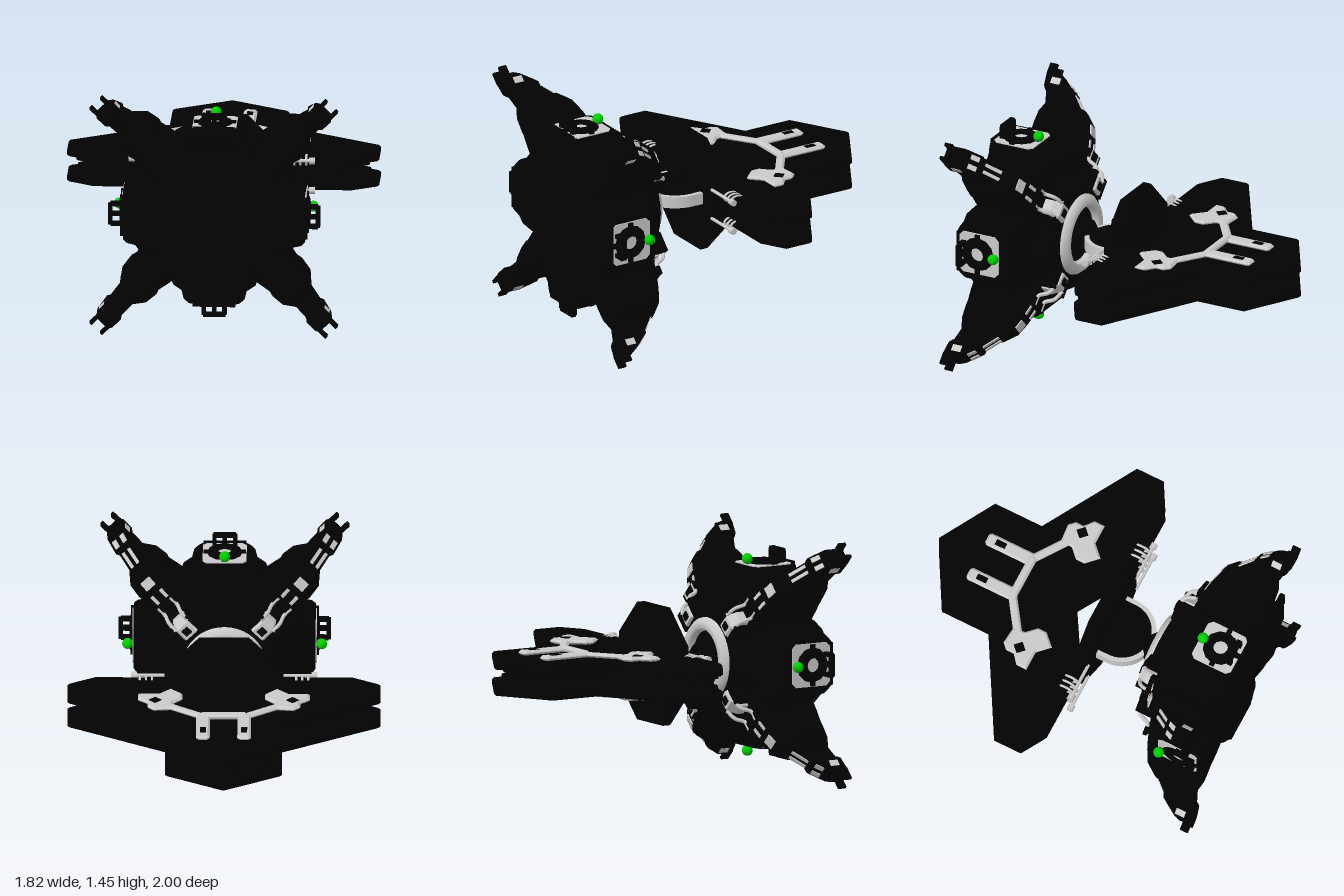
import * as THREE from 'three';

const mat = (name, color) => {
  const m = new THREE.MeshStandardMaterial({ color });
  m.name = name;
  return m;
};

export function createModel() {
  const black = mat('black hull', 0x020202);
  const grey = mat('light grey trim', 0xcacaca);
  const green = mat('green lamp', 0x00d000);
  const root = new THREE.Group();
  const AXIS = 0.72; // height of the long axis

  const add = (parent, name, geo, m, x = 0, y = 0, z = 0) => {
    const mesh = new THREE.Mesh(geo, m);
    mesh.name = name;
    mesh.position.set(x, y, z);
    parent.add(mesh);
    return mesh;
  };
  const box = (parent, name, m, sx, sy, sz, x, y, z) =>
    add(parent, name, new THREE.BoxGeometry(sx, sy, sz), m, x, y, z);
  const group = (name) => {
    const g = new THREE.Group();
    g.name = name;
    return g;
  };

  // Lofts chamfered rectangles [x, halfWidth, z0, z1, chamfer] along +x
  const loft = (sections) => {
    const rings = sections.map(([x, w, a, b, c]) => [
      [w, a + c], [w, b - c], [w - c, b], [-w + c, b],
      [-w, b - c], [-w, a + c], [-w + c, a], [w - c, a],
    ].map(([y, z]) => [x, y, z]));
    const pos = [];
    const tri = (...p) => p.forEach((v) => pos.push(...v));
    for (let i = 0; i < rings.length - 1; i++) {
      for (let j = 0; j < 8; j++) {
        const k = (j + 1) % 8, A = rings[i], B = rings[i + 1];
        tri(A[j], A[k], B[k]);
        tri(A[j], B[k], B[j]);
      }
    }
    const first = rings[0], last = rings[rings.length - 1];
    for (let j = 1; j < 7; j++) {
      tri(last[0], last[j], last[j + 1]);
      tri(first[0], first[j + 1], first[j]);
    }
    const g = new THREE.BufferGeometry();
    g.setAttribute('position', new THREE.Float32BufferAttribute(pos, 3));
    g.computeVertexNormals();
    return g;
  };

  // Lathe around the z axis from [radius, z] points
  const latheZ = (pts, seg) => new THREE.LatheGeometry(
    pts.map(([r, z]) => new THREE.Vector2(r, z)), seg).rotateX(Math.PI / 2);

  // Flat plate in the xz plane from [x, z] points, occupying y0..y1
  const slab = (pts, y0, y1, bevel) => new THREE.ExtrudeGeometry(
    new THREE.Shape(pts.map(([x, z]) => new THREE.Vector2(x, z))), {
      depth: y1 - y0 - 2 * bevel, bevelThickness: bevel,
      bevelSize: bevel, bevelOffset: -bevel, bevelSegments: 1,
    }).rotateX(Math.PI / 2).translate(0, y1 - bevel, 0);
  const mirrorOutline = (half) => [...half,
    ...half.slice(1, -1).reverse().map(([x, z]) => [-x, z])];

  const body = group('body');
  body.position.y = AXIS;
  root.add(body);

  // Central hub and its rear ring
  add(body, 'hub', latheZ([[0, 0.47], [0.26, 0.46], [0.29, 0.48], [0.33, 0.53], [0.36, 0.58],
    [0.42, 0.63], [0.44, 0.75], [0.45, 0.9], [0.41, 0.95], [0.25, 0.975], [0, 0.98]], 32), black);
  add(body, 'rearRing', latheZ([[0.16, 0.475], [0.17, 0.435], [0.18, 0.42], [0.215, 0.42],
    [0.24, 0.45], [0.245, 0.485]], 40), grey);
  add(body, 'ringSocket', latheZ([[0, 0.36], [0.06, 0.36], [0.1, 0.4], [0.12, 0.48]], 16), black);

  // Four pods with plate, lens ring, guard and lamp
  for (let k = 0; k < 4; k++) {
    const pod = group('pod');
    pod.rotation.z = k * Math.PI / 2;
    body.add(pod);
    add(pod, 'podShell', loft([[0.25, 0.27, 0.54, 0.97, 0.08], [0.38, 0.26, 0.59, 0.97, 0.06],
      [0.43, 0.24, 0.61, 0.975, 0.05], [0.46, 0.19, 0.63, 0.98, 0.04],
      [0.51, 0.178, 0.66, 0.98, 0.04], [0.53, 0.15, 0.69, 0.978, 0.02]]), black);
    box(pod, 'podLip', black, 0.03, 0.25, 0.012, 0.532, 0, 0.974);
    add(pod, 'podPlate', loft([[0.527, 0.128, 0.71, 0.967, 0.025],
      [0.536, 0.128, 0.71, 0.967, 0.025]]), grey);
    const ring = new THREE.LatheGeometry([[0.043, 0], [0.105, 0], [0.1, 0.012], [0.08, 0.02],
      [0.043, 0.02], [0.043, 0]].map(([r, y]) => new THREE.Vector2(r, y)), 12);
    add(pod, 'lensRing', ring.rotateZ(-Math.PI / 2), black, 0.534, 0, 0.845);
    for (let a = 0; a < 4; a++) {
      const t = a * Math.PI / 2;
      box(pod, 'ringLug', black, 0.016, 0.03, 0.03, 0.54,
        Math.cos(t) * 0.108, 0.845 + Math.sin(t) * 0.108);
    }
    for (const y of [-0.06, 0, 0.06]) box(pod, 'guardPost', black, 0.08, 0.025, 0.03, 0.565, y, 0.935);
    box(pod, 'guardBar', black, 0.025, 0.13, 0.03, 0.605, 0, 0.935);
    add(pod, 'lamp', new THREE.SphereGeometry(0.032, 16, 12), green, 0.565, 0, 0.73);
  }

  // Four diagonal arms with clamps and hands
  for (let k = 0; k < 4; k++) {
    const arm = group('arm');
    arm.rotation.z = Math.PI / 4 + k * Math.PI / 2;
    body.add(arm);
    add(arm, 'upperArm', loft([[0.2, 0.13, 0.52, 0.97, 0.05], [0.48, 0.115, 0.57, 0.97, 0.055],
      [0.56, 0.1, 0.59, 0.965, 0.045], [0.59, 0.112, 0.6, 0.965, 0.055],
      [0.67, 0.105, 0.63, 0.965, 0.055], [0.735, 0.05, 0.69, 0.95, 0.02]]), black);
    add(arm, 'forearm', loft([[0.7, 0.055, 0.68, 0.94, 0.02],
      [0.83, 0.052, 0.8, 0.98, 0.02]]), black);
    add(arm, 'hand', loft([[0.81, 0.05, 0.78, 0.98, 0.015], [0.83, 0.064, 0.79, 0.99, 0.015],
      [0.9, 0.064, 0.88, 1, 0.015], [0.92, 0.05, 0.91, 1, 0.015]]), black);

    // Clamp gripping the rear of the hub
    add(arm, 'clampBlock', loft([[0.27, 0.05, 0.445, 0.55, 0.012], [0.35, 0.05, 0.45, 0.56, 0.012],
      [0.385, 0.04, 0.5, 0.57, 0.012]]), grey);
    box(arm, 'clampSocket', black, 0.045, 0.045, 0.008, 0.31, 0, 0.444);
    for (const y of [-0.07, 0.07]) box(arm, 'clampCheek', black, 0.12, 0.035, 0.11, 0.32, y, 0.51);
    for (const y of [-0.05, 0.05]) {
      const path = new THREE.CatmullRomCurve3([[0.35, 0.46], [0.41, 0.49], [0.44, 0.545], [0.5, 0.55]]
        .map(([x, z]) => new THREE.Vector3(x, y, z)));
      add(arm, 'clampRail', new THREE.TubeGeometry(path, 12, 0.012, 6), grey);
    }
    box(arm, 'clampFoot', black, 0.05, 0.15, 0.025, 0.48, 0, 0.555);

    // Light plates along the rear ridge
    const plate = (name, len, w, r, y, z, tilt) => {
      box(arm, name, grey, len, w, 0.009, r, y, z).rotation.y = -tilt;
    };
    plate('shoulderPlate', 0.06, 0.07, 0.63, 0, 0.612, 0.36);
    for (const s of [-1, 1]) {
      plate('shoulderStrip', 0.06, 0.02, 0.535, s * 0.035, 0.582, 0.24);
      plate('forearmStrip', 0.12, 0.02, 0.77, s * 0.022, 0.742, 0.75);
      plate('handPlate', 0.055, 0.03, 0.865, s * 0.03, 0.833, 0.91);
      box(arm, 'wristPlate', grey, 0.04, 0.008, 0.06, 0.865, s * 0.062, 0.92);
      box(arm, 'finger', black, 0.075, 0.018, 0.05, 0.935, s * 0.043, 0.975);
    }
  }

  // Swivel joint between hub and rear plate: half discs with straight rear ends
  const halfDisc = (name, r, h, m) => {
    add(body, name, new THREE.CylinderGeometry(r, r, h, 32, 1, false, -Math.PI / 2, Math.PI),
      m, 0, 0, 0.2);
    box(body, name + 'End', m, 2 * r, h, 0.1, 0, 0, 0.15);
  };
  halfDisc('swivelDisc', 0.2, 0.07, grey);
  halfDisc('swivelFace', 0.172, 0.078, black);
  add(body, 'swivelPin', new THREE.CylinderGeometry(0.035, 0.035, 0.26, 16), black, 0, 0, 0.19);
  for (const s of [-1, 1]) {
    add(body, 'swivelCap', new THREE.CylinderGeometry(0.052, 0.052, 0.065, 16),
      black, 0, s * 0.11, 0.19);
  }
  const backplate = (name, r, depth) => add(body, name, new THREE.CylinderGeometry(
    r, r, depth, 8).rotateY(Math.PI / 8).rotateX(Math.PI / 2), black, 0, 0, 0.09);
  backplate('backPlate', 0.375, 0.05);
  backplate('backPlateCore', 0.34, 0.085);

  // Two stepped wings, the lower one turned over
  const wingHalf = [[0, -1], [0.34, -0.805], [0.34, -0.5], [0.91, -0.17], [0.91, 0.005],
    [0.755, 0.095], [0.35, 0.095], [0, -0.115]];
  const inset = (s) => mirrorOutline(wingHalf.map(([x, z]) => [x * s, 0.06 + (z - 0.06) * s]));
  for (const side of [0, 1]) {
    const wing = group(side ? 'lowerWing' : 'upperWing');
    wing.rotation.z = side * Math.PI;
    body.add(wing);
    add(wing, 'wingOuterLayer', slab(mirrorOutline(wingHalf), 0.052, 0.102, 0.012), black);
    add(wing, 'wingMiddleLayer', slab(inset(0.94), 0.03, 0.06, 0.006), black);
    add(wing, 'wingInnerLayer', slab(inset(0.88), 0.012, 0.035, 0.006), black);

    // Raised trim on the wing
    add(wing, 'trimCrossbar', slab([[-0.13, -0.475], [0.13, -0.475], [0.145, -0.45], [0.13, -0.425],
      [-0.13, -0.425], [-0.145, -0.45]], 0.1, 0.136, 0.012), grey);
    for (const s of [-1, 1]) {
      const flip = (pts) => pts.map(([x, z]) => [x * s, z]);
      const trim = (name, pts) => add(wing, name, slab(flip(pts), 0.1, 0.128, 0.012), grey);
      trim('trimProng', [[0.08, -0.73], [0.095, -0.745], [0.145, -0.745], [0.16, -0.73],
        [0.16, -0.45], [0.08, -0.45]]);
      trim('trimDiagonal', [[0.12, -0.475], [0.145, -0.47], [0.34, -0.335], [0.315, -0.29],
        [0.12, -0.425]]);
      trim('trimPad', [[0.41, -0.365], [0.305, -0.355], [0.295, -0.28], [0.24, -0.225],
        [0.24, -0.17], [0.31, -0.1], [0.38, -0.17], [0.5, -0.17], [0.5, -0.235], [0.445, -0.28],
        [0.445, -0.33]].map(([x, z]) => [0.745 - x, z]).map(([x, z]) => [0.745 - x, z]));
      box(wing, 'prongSlot', black, 0.036, 0.006, 0.065, s * 0.12, 0.127, -0.655);
      box(wing, 'padSlot', black, 0.055, 0.006, 0.055, s * 0.4, 0.127, -0.265).rotation.y = Math.PI / 4;

      // Hinge rod with three loops
      add(wing, 'hingeRod', new THREE.CylinderGeometry(0.01, 0.01, 0.24, 8).rotateZ(Math.PI / 2),
        grey, s * 0.42, 0.09, 0.135);
      add(wing, 'hingeKnob', new THREE.CylinderGeometry(0.02, 0.02, 0.035, 10).rotateZ(Math.PI / 2),
        grey, s * 0.525, 0.09, 0.135);
      for (const x of [0.42, 0.455, 0.49]) {
        add(wing, 'hingeLoop', new THREE.TorusGeometry(0.044, 0.008, 6, 16)
          .rotateY(Math.PI / 2).scale(1, 0.65, 1), grey, s * x, 0.079, 0.08);
      }
    }
  }
  return root;
}
